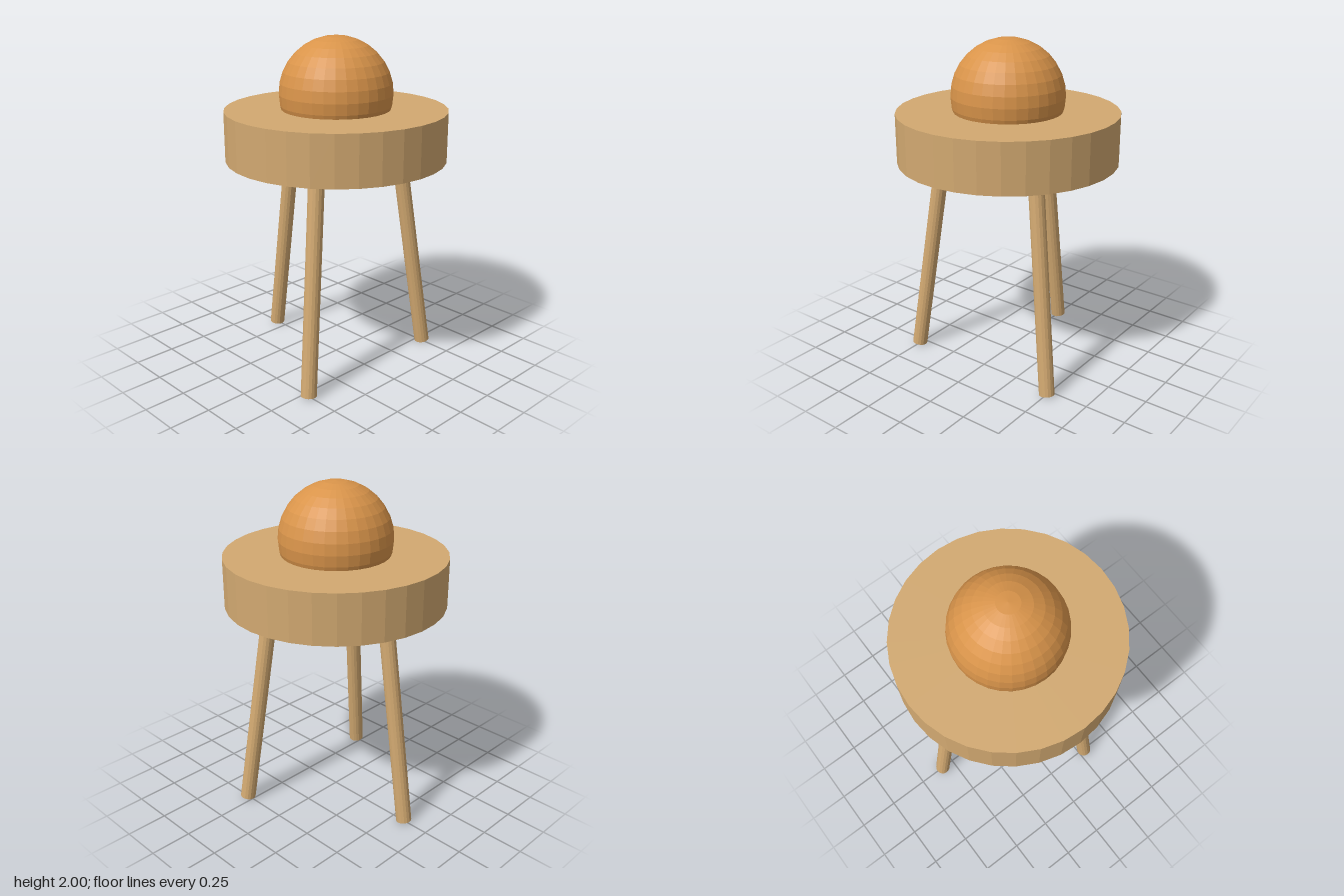
import * as THREE from 'three';

const wood = new THREE.MeshStandardMaterial({ color: 0xd2a971 });
wood.name = 'lightWood';
const orange = new THREE.MeshStandardMaterial({ color: 0xd9944a });
orange.name = 'orangeBrown';

// Unshared vertices give every facet its own flat normal
function addPart(parent, name, geometry, material) {
  const flat = geometry.toNonIndexed();
  flat.computeVertexNormals();
  const mesh = new THREE.Mesh(flat, material);
  mesh.name = name;
  parent.add(mesh);
  return mesh;
}

export function createModel() {
  const model = new THREE.Group();
  model.name = 'stoolWithBall';

  // Round seat
  const seat = addPart(model, 'seat', new THREE.CylinderGeometry(0.653, 0.653, 0.295, 32), wood);
  seat.position.y = 1.4325;

  // Ball sunk into the seat
  const ball = addPart(model, 'ball', new THREE.SphereGeometry(0.333, 32, 16), orange);
  ball.position.y = 1.667;

  // Three splayed legs: two in front, one behind
  const up = new THREE.Vector3(0, 1, 0);
  const names = ['leftFrontLeg', 'rightFrontLeg', 'backLeg'];
  [30, 150, 270].forEach((degrees, i) => {
    const a = THREE.MathUtils.degToRad(degrees);
    const at = (r, y) => new THREE.Vector3(r * Math.cos(a), y, r * Math.sin(a));
    const foot = at(0.581, 0.007), top = at(0.386, 1.33);
    const axis = top.clone().sub(foot);
    const leg = addPart(model, names[i], new THREE.CylinderGeometry(0.0465, 0.0465, axis.length(), 16), wood);
    leg.position.addVectors(foot, top).multiplyScalar(0.5);
    leg.quaternion.setFromUnitVectors(up, axis.normalize());
  });

  return model;
}
